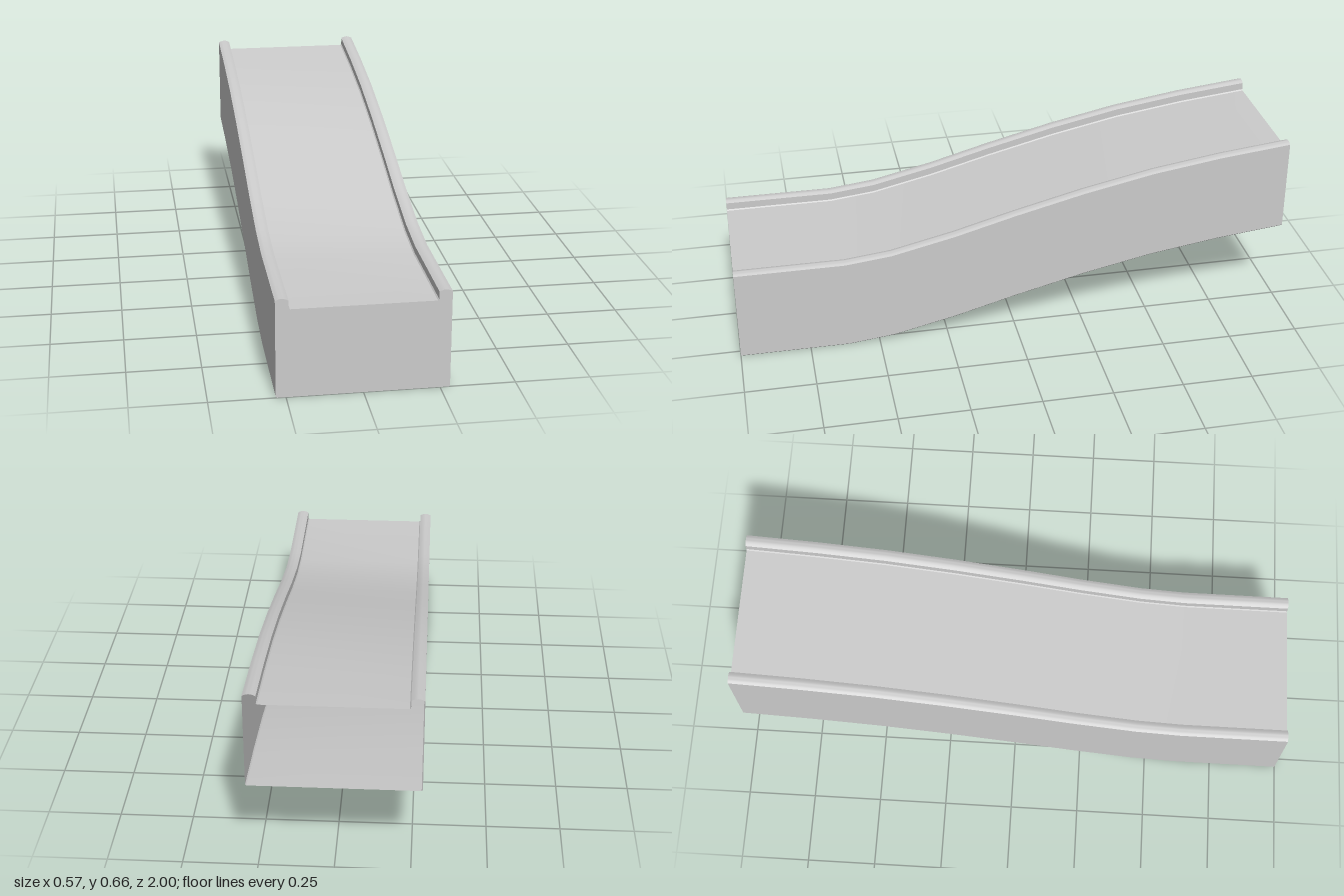
import * as THREE from 'three';
import { toCreasedNormals } from 'three/addons/utils/BufferGeometryUtils.js';

const W = 0.283;      // outer half width
const INNER = 0.24;   // inner face of the side rails
const DECK = 0.305;   // deck height at the low end

// Rise of the slide along its length: [z, lift]
const PATH = [[1, 0], [0.61, 0], [0.445, 0.019], [0.22, 0.071], [0, 0.132],
  [-0.25, 0.195], [-0.5, 0.248], [-0.75, 0.286], [-1, 0.314]];

const material = new THREE.MeshStandardMaterial({ color: 0xcccccc, side: THREE.DoubleSide });

// Sweep an open cross-section (counter-clockwise seen from the front) along the path
function sweep(name, section) {
  const positions = [];
  const at = (p, [z, lift]) => [p[0], p[1] + lift, z];
  for (let i = 0; i < PATH.length - 1; i++) {
    for (let k = 0; k < section.length - 1; k++) {
      const a = at(section[k], PATH[i]), b = at(section[k + 1], PATH[i]);
      const c = at(section[k + 1], PATH[i + 1]), d = at(section[k], PATH[i + 1]);
      positions.push(...a, ...d, ...c, ...a, ...c, ...b);
    }
  }
  const geometry = new THREE.BufferGeometry();
  geometry.setAttribute('position', new THREE.Float32BufferAttribute(positions, 3));
  const mesh = new THREE.Mesh(toCreasedNormals(geometry, Math.PI / 6), material);
  mesh.name = name;
  return mesh;
}

const mirror = (points) => points.map(([x, y]) => [-x, y]).reverse();

export function createModel() {
  const group = new THREE.Group();
  group.name = 'slide';

  // Cross-sections of the left half
  const wall = [[W - 0.004, 0], [W, 0.004], [W, 0.335]];
  const rail = [];
  for (let i = 0; i <= 6; i++) {
    const t = i / 6;
    rail.push([W + (INNER - W) * t, 0.335 + 0.007 * Math.sin(Math.PI * t)]);
  }
  rail.push([INNER, DECK + 0.004], [INNER - 0.004, DECK]);
  const deck = [rail[rail.length - 1], [-INNER + 0.004, DECK]];
  const floor = [[-W + 0.004, 0], [W - 0.004, 0]];

  group.add(
    sweep('floor', floor),
    sweep('leftWall', wall),
    sweep('leftRail', rail),
    sweep('deck', deck),
    sweep('rightRail', mirror(rail)),
    sweep('rightWall', mirror(wall)),
  );

  // Flat panel closing the low end; the high end stays open
  const half = [...wall, ...rail.slice(1)];
  const outline = [...half, ...mirror(half)].map(([x, y]) => new THREE.Vector2(x, y));
  const panel = new THREE.Mesh(new THREE.ShapeGeometry(new THREE.Shape(outline)), material);
  panel.name = 'frontPanel';
  panel.position.z = 1;
  group.add(panel);

  return group;
}
